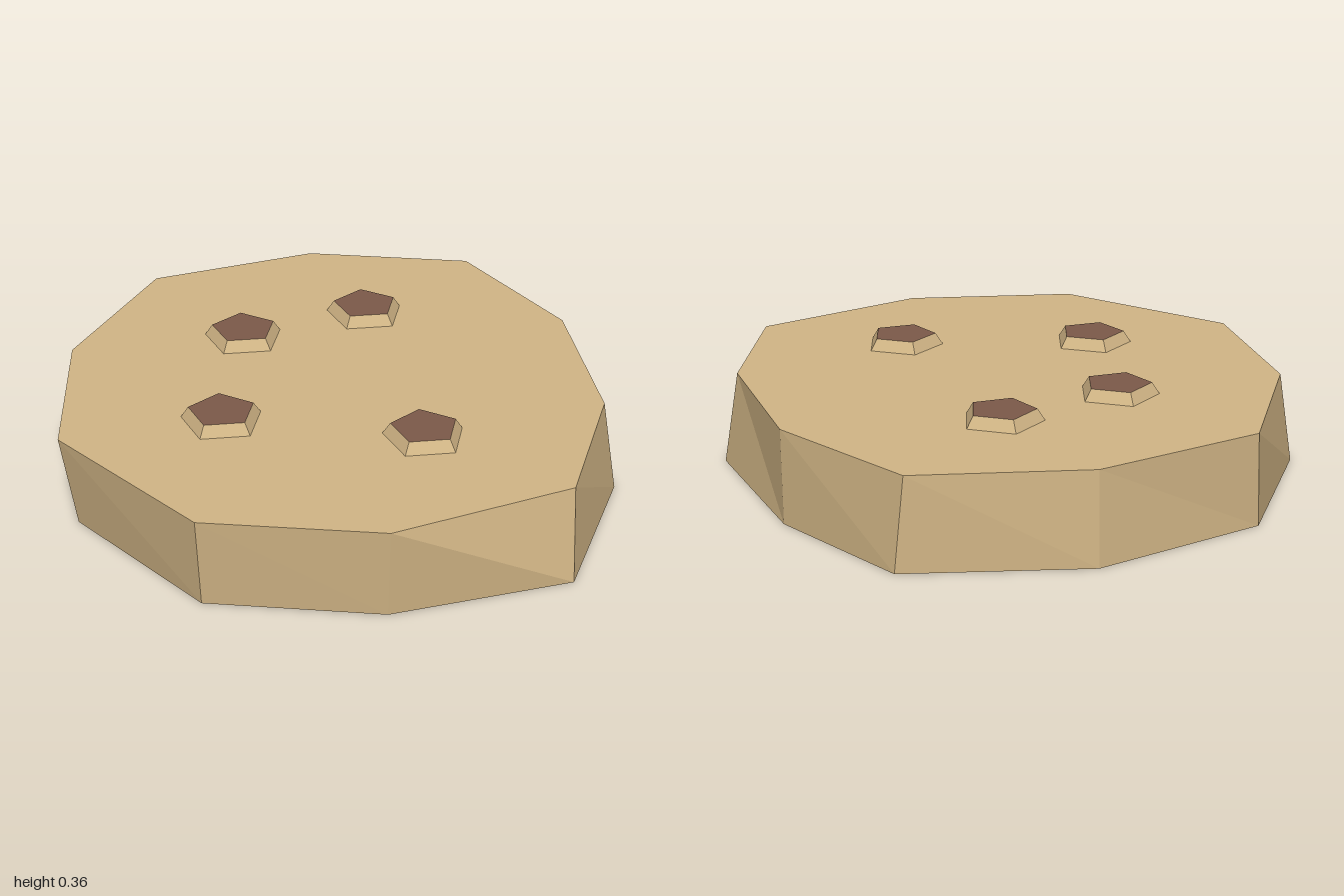
import * as THREE from 'three';

const HEIGHT = 0.323;

// Irregular ten-sided outlines [x, z], clockwise seen from above
const TOP = [[0.05, -0.99], [0.63, -0.845], [0.885, -0.315], [0.89, 0.3], [0.67, 0.815],
  [0.05, 1], [-0.54, 0.86], [-0.945, 0.3], [-0.88, -0.32], [-0.55, -0.85]];
const BOTTOM = [[0.05, -1], [0.66, -0.835], [0.885, -0.325], [0.94, 0.32], [0.67, 0.87],
  [0.05, 0.97], [-0.525, 0.83], [-0.895, 0.3], [-0.935, -0.315], [-0.565, -0.84]];

// Solid between two outlines: walls, plus a flat cap at each end
function slabGeometry(top, bottom, height) {
  const positions = [];
  const tri = (...points) => points.forEach((p) => positions.push(...p));
  const up = top.map(([x, z]) => [x, height, z]);
  const low = bottom.map(([x, z]) => [x, 0, z]);
  const n = top.length;
  for (let i = 0; i < n; i++) {
    const j = (i + 1) % n;
    tri(up[i], up[j], low[i]);
    tri(up[j], low[j], low[i]);
    tri([0, height, 0], up[j], up[i]);
    tri([0, 0, 0], low[i], low[j]);
  }
  const geometry = new THREE.BufferGeometry();
  geometry.setAttribute('position', new THREE.Float32BufferAttribute(positions, 3));
  geometry.computeVertexNormals();
  return geometry;
}

export function createModel() {
  const dough = new THREE.MeshStandardMaterial({ color: 0xd2b686, flatShading: true });
  dough.name = 'dough tan';
  const chocolate = new THREE.MeshStandardMaterial({ color: 0x7c5a4a, flatShading: true });
  chocolate.name = 'chocolate brown';

  const model = new THREE.Group();
  model.name = 'cookie';

  // Thick biscuit
  const body = new THREE.Mesh(slabGeometry(TOP, BOTTOM, HEIGHT), dough);
  body.name = 'biscuit';
  model.add(body);

  // Raised five-sided chips with tan flanks and brown tops, pointing to the back
  const chipGeometry = new THREE.CylinderGeometry(0.115, 0.141, 0.04, 5);
  chipGeometry.rotateY(Math.PI);
  const spots = [[-0.27, -0.335], [0.185, -0.465], [-0.4, 0.245], [0.25, 0.44]];
  spots.forEach(([x, z], i) => {
    const chip = new THREE.Mesh(chipGeometry, [dough, chocolate, dough]);
    chip.name = `chip${i + 1}`;
    chip.position.set(x, HEIGHT + 0.02, z);
    model.add(chip);
  });

  return model;
}
